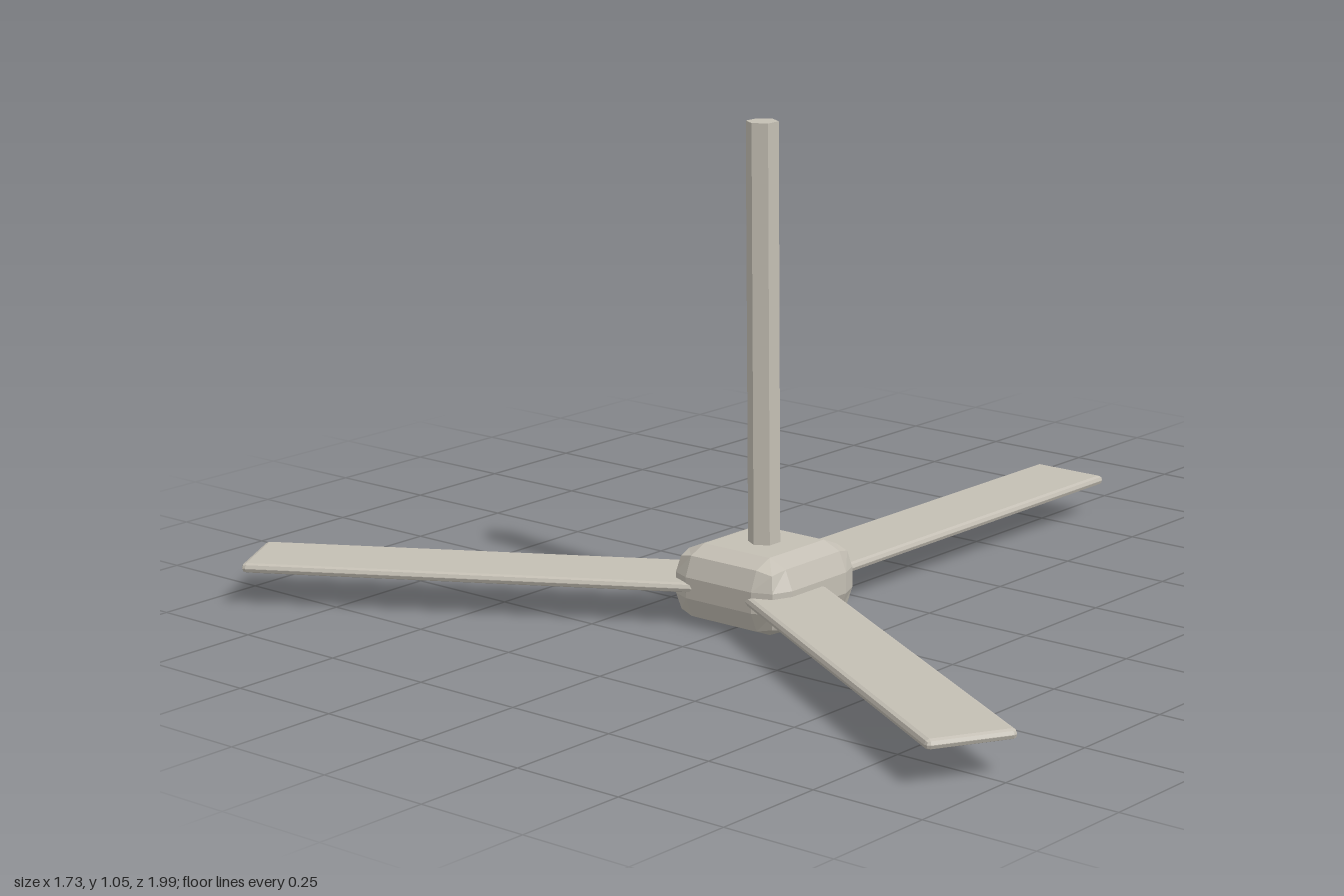
import * as THREE from 'three';
import { RoundedBoxGeometry } from 'three/addons/geometries/RoundedBoxGeometry.js';

const HUB_X = -0.24;
const HUB_H = 0.165;
const MID_Y = HUB_H / 2;

export function createModel() {
  const group = new THREE.Group();
  group.name = 'ceilingFan';
  const metal = new THREE.MeshStandardMaterial({ color: 0xc4bfb4, flatShading: true });
  metal.name = 'warm grey';

  const add = (name, geometry, parent) => {
    const mesh = new THREE.Mesh(geometry, metal);
    mesh.name = name;
    parent.add(mesh);
    return mesh;
  };

  // Box with two-step faceted edges
  const facetedBox = (w, h, d, r) => {
    const g = new RoundedBoxGeometry(w, h, d, 1, r);
    g.computeVertexNormals();
    return g;
  };

  // Motor housing
  add('motorHub', facetedBox(0.296, HUB_H, 0.296, 0.06), group).position.set(HUB_X, MID_Y, 0);

  // Hexagonal hanging rod, corners pointing to the sides
  const rodBottom = 0.1, rodTop = 1.05;
  const rod = new THREE.CylinderGeometry(0.034, 0.034, rodTop - rodBottom, 6);
  rod.rotateY(Math.PI / 2);
  add('hangingRod', rod, group).position.set(HUB_X, (rodBottom + rodTop) / 2, 0);

  // Three flat blades, evenly spaced about the hub
  const inner = 0.06, outer = 1.103;
  const blade = facetedBox(outer - inner, 0.021, 0.184, 0.01);
  blade.translate((inner + outer) / 2, 0, 0);
  for (let i = 0; i < 3; i++) {
    const mesh = add('blade' + (i + 1), blade, group);
    mesh.position.set(HUB_X, MID_Y, 0);
    mesh.rotation.y = (i * Math.PI * 2) / 3;
  }

  return group;
}
